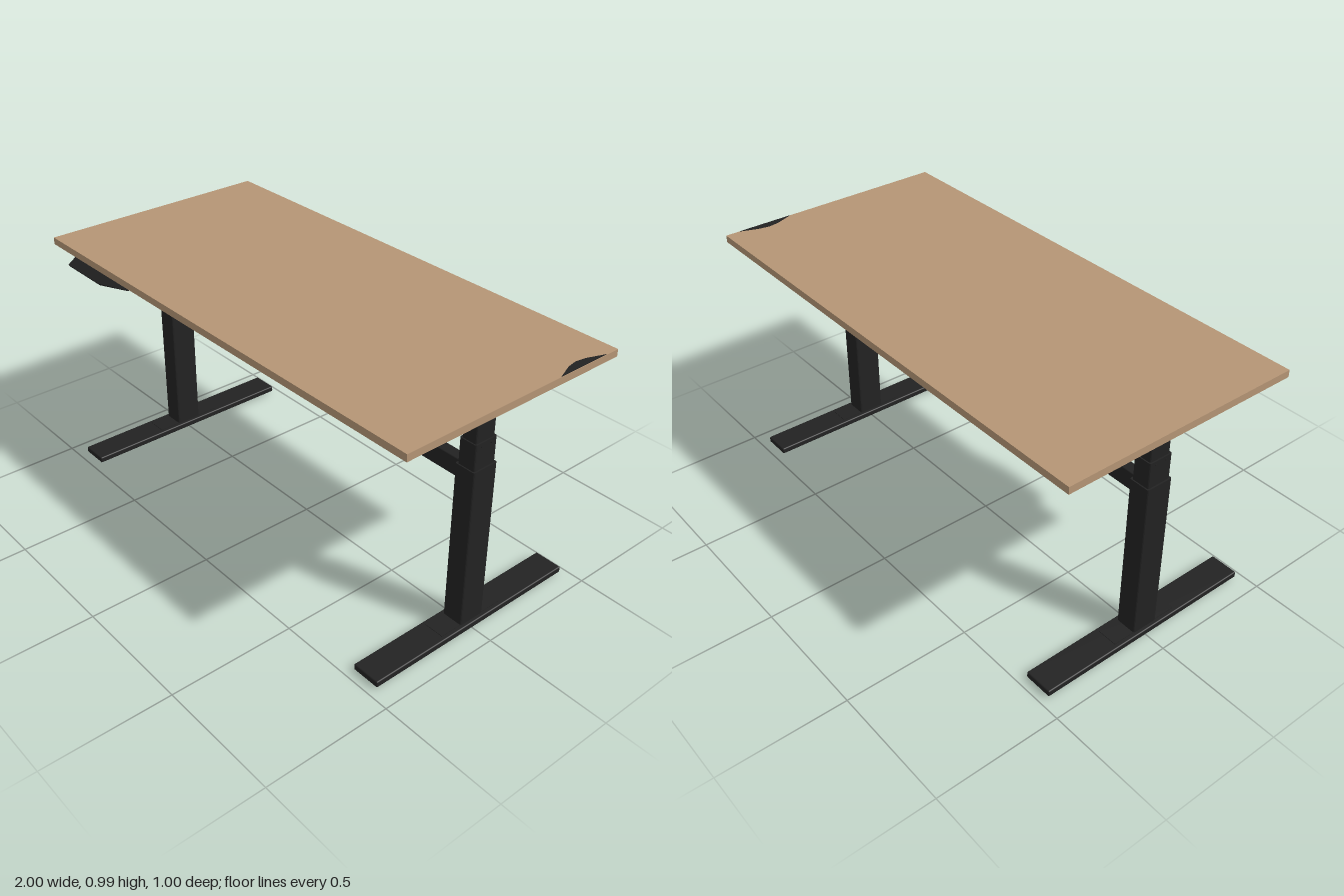
import * as THREE from 'three';
import { RoundedBoxGeometry } from 'three/addons/geometries/RoundedBoxGeometry.js';

export function createModel() {
  const desk = new THREE.Group();
  desk.name = 'standingDesk';

  const wood = new THREE.MeshStandardMaterial({ color: 0xb59575 });
  wood.name = 'wood';
  const metal = new THREE.MeshStandardMaterial({ color: 0x222222 });
  metal.name = 'blackMetal';

  const add = (parent, name, geometry, material, x = 0, y = 0, z = 0) => {
    const mesh = new THREE.Mesh(geometry, material);
    mesh.name = name;
    mesh.position.set(x, y, z);
    parent.add(mesh);
    return mesh;
  };

  // Upright tube with softly rounded corners, from y0 to y1
  const column = (w, d, y0, y1) => {
    const r = 0.008, a = w / 2, b = d / 2;
    const s = new THREE.Shape();
    s.moveTo(-a + r, -b);
    s.lineTo(a - r, -b).quadraticCurveTo(a, -b, a, -b + r);
    s.lineTo(a, b - r).quadraticCurveTo(a, b, a - r, b);
    s.lineTo(-a + r, b).quadraticCurveTo(-a, b, -a, b - r);
    s.lineTo(-a, -b + r).quadraticCurveTo(-a, -b, -a + r, -b);
    const g = new THREE.ExtrudeGeometry(s, { depth: y1 - y0, bevelEnabled: false, curveSegments: 3 });
    return g.rotateX(-Math.PI / 2).translate(0, y0, 0);
  };

  // Side profile of [z, y] points, extruded along x and centred
  const sidePlate = (points, width) => {
    const s = new THREE.Shape(points.map(([z, y]) => new THREE.Vector2(-z, y)));
    const g = new THREE.ExtrudeGeometry(s, { depth: width, bevelEnabled: false });
    return g.translate(0, 0, -width / 2).rotateY(Math.PI / 2);
  };

  // Tabletop, with a small dark inlay at the rear left edge
  add(desk, 'tabletop', new THREE.BoxGeometry(2, 0.028, 0.965), wood, 0, 0.973, -0.0175);
  const inlay = new THREE.Shape([[0.998, 0.44], [0.972, 0.37], [0.964, 0.325], [0.972, 0.28], [0.998, 0.215]]
    .map(([x, y]) => new THREE.Vector2(x, y)));
  add(desk, 'edgeInlay', new THREE.ExtrudeGeometry(inlay, { depth: 0.003, bevelEnabled: false })
    .rotateX(-Math.PI / 2), metal, 0, 0.9855, 0);

  // Two T-shaped legs
  for (const side of [-1, 1]) {
    const leg = new THREE.Group();
    leg.name = side > 0 ? 'leftLeg' : 'rightLeg';
    leg.position.x = side * 0.863;
    desk.add(leg);

    add(leg, 'foot', new RoundedBoxGeometry(0.115, 0.025, 0.934, 2, 0.005), metal, 0, 0.0245, 0);
    add(leg, 'footPlate', new THREE.BoxGeometry(0.08, 0.004, 0.29), metal, 0, 0.037, 0);
    for (const end of [-1, 1]) {
      add(leg, 'footPad', new THREE.BoxGeometry(0.08, 0.012, 0.077), metal, 0, 0.008, end * 0.419);
      add(leg, 'sleeveScrew', new THREE.CylinderGeometry(0.004, 0.004, 0.004, 8).rotateZ(Math.PI / 2),
        metal, side * 0.037, 0.773, end * 0.023);
      add(leg, 'bracketScrew', new THREE.CylinderGeometry(0.004, 0.004, 0.004, 8).rotateZ(Math.PI / 2),
        metal, side * 0.035, 0.941, end * 0.046);
    }

    // Telescoping column
    add(leg, 'outerColumn', column(0.085, 0.11, 0.035, 0.685), metal);
    add(leg, 'middleColumn', column(0.073, 0.1, 0.6, 0.787), metal);
    add(leg, 'innerColumn', column(0.062, 0.09, 0.7, 0.915), metal);

    // Tapered bracket carrying the top
    add(leg, 'topBracket', sidePlate([[0.372, 0.957], [0.366, 0.935], [0.06, 0.903], [-0.1, 0.903],
      [-0.394, 0.935], [-0.4, 0.957]], 0.068), metal);
    add(leg, 'bracketFlange', new THREE.BoxGeometry(0.08, 0.006, 0.772), metal, 0, 0.957, -0.014);
  }

  // Beam joining the legs
  add(desk, 'crossbar', new RoundedBoxGeometry(1.66, 0.072, 0.045, 2, 0.004), metal, 0, 0.64, 0);

  // Control handset under the front edge; its inner end sweeps up and back
  const profile = [[0.465, 0.959], [0.498, 0.936], [0.493, 0.928], [0.462, 0.935],
    [0.452, 0.936], [0.425, 0.951], [0.38, 0.955], [0.38, 0.959]];
  const sections = [[-0.84, 1], [-0.62, 1], [-0.46, 0.12]].map(([x, k]) =>
    profile.map(([z, y]) => [x, 0.959 + (y - 0.959) * k, z > 0.465 ? 0.465 + (z - 0.465) * k : z]));
  const n = profile.length, tri = [];
  for (let s = 0; s < 2; s++) {
    for (let i = 0; i < n; i++) {
      const j = (i + 1) % n;
      const a = sections[s][i], b = sections[s][j], c = sections[s + 1][j], d = sections[s + 1][i];
      tri.push(a, b, c, a, c, d);
    }
  }
  const caps = THREE.ShapeUtils.triangulateShape(profile.map(([z, y]) => new THREE.Vector2(z, y)), []);
  for (const [a, b, c] of caps) {
    for (const s of [sections[0], sections[2]]) tri.push(s[a], s[b], s[c]);
  }
  const handset = new THREE.BufferGeometry();
  handset.setAttribute('position', new THREE.Float32BufferAttribute(tri.flat(), 3));
  handset.computeVertexNormals();
  const handsetMetal = metal.clone();
  handsetMetal.name = 'handsetBlack';
  handsetMetal.side = THREE.DoubleSide;
  add(desk, 'controlHandset', handset, handsetMetal);

  return desk;
}
